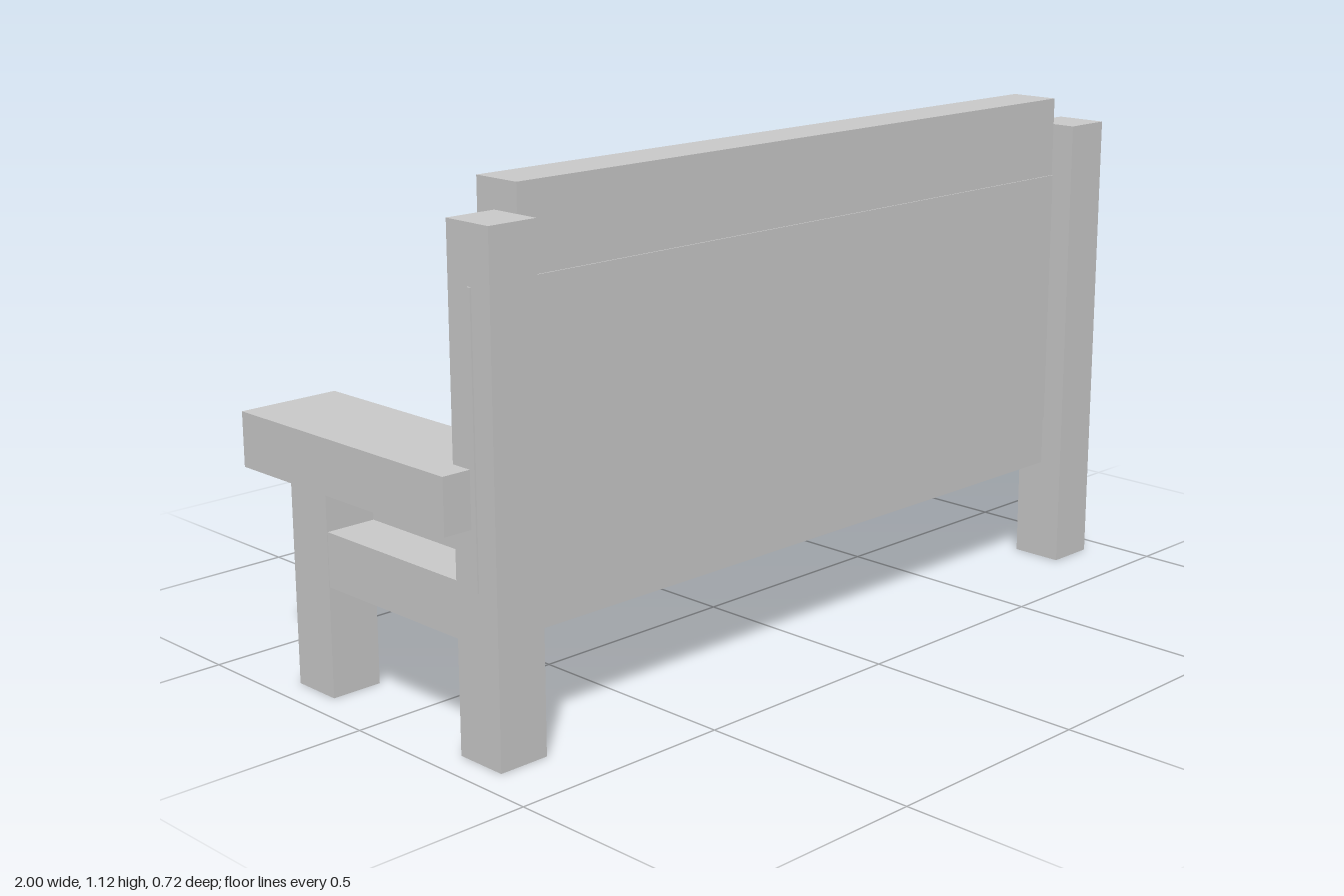
import * as THREE from 'three';

const material = new THREE.MeshStandardMaterial({ color: 0xcccccc, flatShading: true });

// Box given by its limits on each axis
function box(name, [x0, x1], [y0, y1], [z0, z1]) {
  const mesh = new THREE.Mesh(new THREE.BoxGeometry(x1 - x0, y1 - y0, z1 - z0), material);
  mesh.position.set((x0 + x1) / 2, (y0 + y1) / 2, (z0 + z1) / 2);
  mesh.name = name;
  return mesh;
}

export function createModel() {
  const bench = new THREE.Group();
  bench.name = 'bench';

  // Seat and backrest: one L-shaped profile (z, y) extruded along the width
  const profile = new THREE.Shape([
    [-0.285, 0.237], [0.305, 0.237], [0.305, 1.12], [0.19, 1.12], [0.19, 0.41], [-0.285, 0.41],
  ].map(([z, y]) => new THREE.Vector2(-z, y)));
  const geometry = new THREE.ExtrudeGeometry(profile, { depth: 1.64, bevelEnabled: false });
  geometry.translate(0, 0, -0.82).rotateY(Math.PI / 2);
  const seat = new THREE.Mesh(geometry, material);
  seat.name = 'seatAndBackrest';
  bench.add(seat);

  // Thin board behind the backrest, its ends just showing through the posts
  bench.add(box('backBoard', [-0.939, 0.939], [0.35, 0.94], [0.299, 0.308]));

  // Posts, legs, rails and armrests on both sides
  for (const [side, s] of [['left', 1], ['right', -1]]) {
    const part = (name, [a, b], y, z) =>
      bench.add(box(side + name, s > 0 ? [a, b] : [-b, -a], y, z));
    part('BackPost', [0.82, 0.935], [0, 1.06], [0.24, 0.36]);
    part('FrontLeg', [0.82, 0.937], [0, 0.472], [-0.29, -0.172]);
    part('SideRail', [0.82, 0.935], [0.242, 0.36], [-0.172, 0.24]);
    part('Armrest', [0.77, 1], [0.472, 0.59], [-0.36, 0.29]);
  }
  return bench;
}
